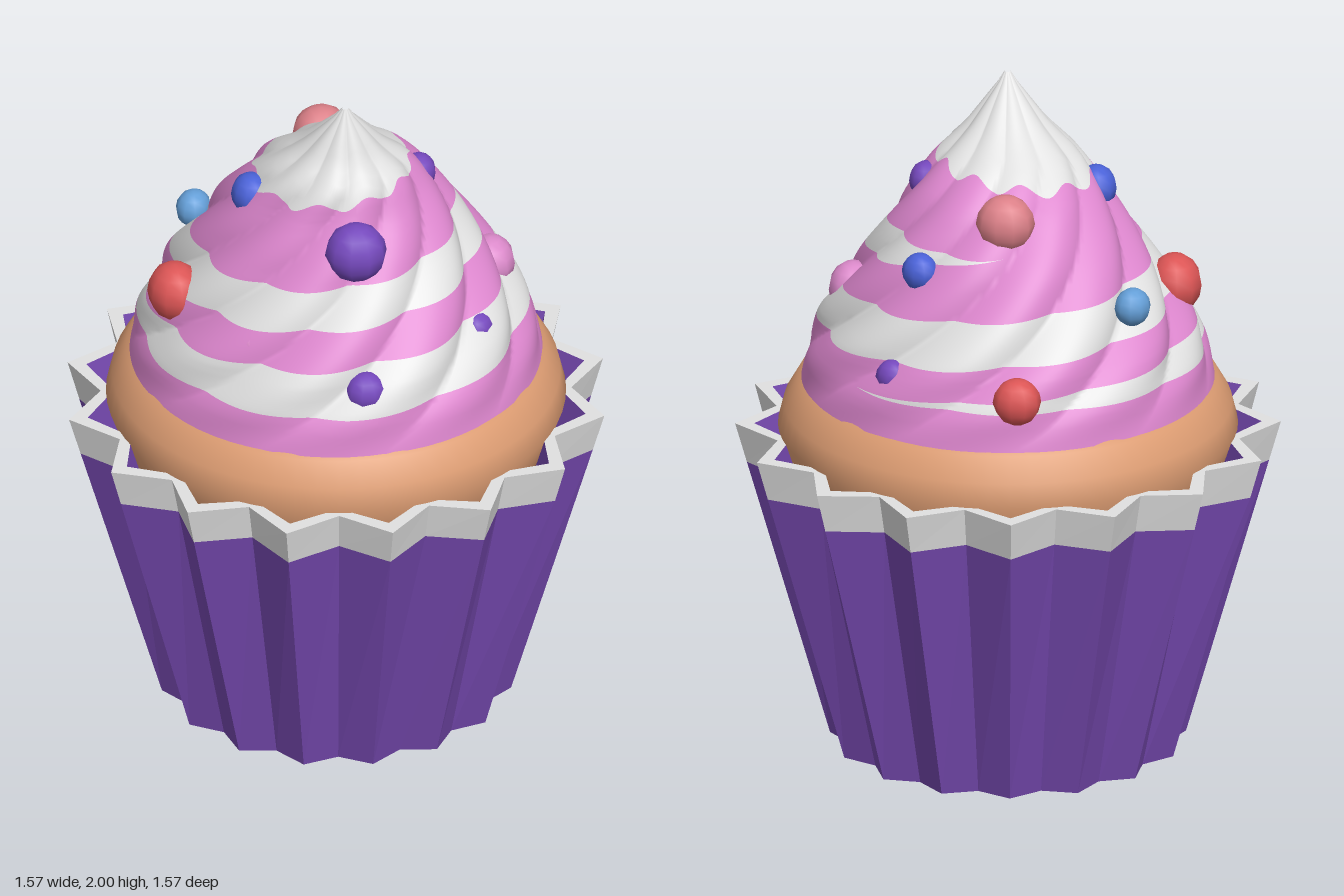
import * as THREE from 'three';

const mat = (name, color) => {
  const m = new THREE.MeshStandardMaterial({ color });
  m.name = name;
  return m;
};
const TAU = Math.PI * 2;

// Piecewise linear lookup in [key, value] pairs, softened by averaging
function lookup(table, k) {
  const lin = (q) => {
    if (q <= table[0][0]) return table[0][1];
    for (let i = 1; i < table.length; i++) {
      const [k0, v0] = table[i - 1], [k1, v1] = table[i];
      if (q <= k1) return v0 + (v1 - v0) * (q - k0) / (k1 - k0);
    }
    return table[table.length - 1][1];
  };
  return (lin(k - 0.025) + 2 * lin(k) + lin(k + 0.025)) / 4;
}

// Pleated ring: 16 points alternating between tip and valley radius
const PLEATS = 32;
const ring = (y, tip, valley) => Array.from({ length: PLEATS + 1 }, (_, i) => {
  const a = i / PLEATS * TAU, r = i % 2 ? valley : tip;
  return new THREE.Vector3(r * Math.sin(a), y, r * Math.cos(a));
});

// Flat-faced wall joining two rings
function wall(a, b) {
  const pts = [];
  for (let i = 0; i < PLEATS; i++) pts.push(a[i], a[i + 1], b[i + 1], a[i], b[i + 1], b[i]);
  const g = new THREE.BufferGeometry().setFromPoints(pts);
  g.computeVertexNormals();
  return g;
}

// Frosting shape: radius and forward lean by height, with twisted ridges
const RADIUS = [[1.0, 0.62], [1.1, 0.595], [1.2, 0.575], [1.3, 0.53], [1.4, 0.465], [1.5, 0.4],
  [1.6, 0.335], [1.7, 0.265], [1.78, 0.205], [1.85, 0.125], [2.0, 0.004]];
const LEAN = [[1.55, 0], [1.7, 0.02], [1.8, 0.065], [1.9, 0.1], [2, 0.13]];
function frostPoint(phi, y) {
  const turn = 2.6 * (Math.min(y, 1.8) - 1.1);
  const lobe = Math.abs(Math.sin(5 * (phi - turn))) - 0.6;
  const strength = 0.08 * THREE.MathUtils.smoothstep(y, 1.08, 1.35);
  const r = lookup(RADIUS, y) * (1 + strength * lobe);
  return new THREE.Vector3(r * Math.sin(phi), y, r * Math.cos(phi) + lookup(LEAN, y));
}

// Smooth strip of frosting between two height curves
function frostStrip(lower, upper, rows) {
  const cols = 160, pos = [], nor = [], idx = [], e = 0.006;
  for (let j = 0; j <= rows; j++) {
    for (let i = 0; i <= cols; i++) {
      const phi = i / cols * TAU;
      const y = THREE.MathUtils.lerp(lower(phi), upper(phi), j / rows);
      const yn = Math.min(y, 1.97);
      const du = frostPoint(phi + 0.02, yn).sub(frostPoint(phi - 0.02, yn));
      const dv = frostPoint(phi, yn + e).sub(frostPoint(phi, yn - e));
      pos.push(...frostPoint(phi, y).toArray());
      nor.push(...du.cross(dv).normalize().toArray());
      if (i < cols && j < rows) {
        const a = j * (cols + 1) + i, b = a + cols + 1;
        idx.push(a, a + 1, b + 1, a, b + 1, b);
      }
    }
  }
  const g = new THREE.BufferGeometry();
  g.setAttribute('position', new THREE.Float32BufferAttribute(pos, 3));
  g.setAttribute('normal', new THREE.Float32BufferAttribute(nor, 3));
  g.setIndex(idx);
  return g;
}

export function createModel() {
  const model = new THREE.Group();
  model.name = 'cupcake';
  const M = {
    wrapper: mat('wrapper purple', 0x7649b0),
    white: mat('cream white', 0xe0e0e0),
    cake: mat('sponge tan', 0xdc9c72),
    pink: mat('frosting pink', 0xdc86cd),
    purple: mat('candy purple', 0x7548bd),
    blue: mat('candy blue', 0x4a62d8),
    red: mat('candy red', 0xdc5555),
    salmon: mat('candy salmon', 0xdc8088),
    sky: mat('candy sky blue', 0x649fd8),
    rose: mat('candy rose', 0xdc8acb),
  };
  const add = (parent, name, geometry, material) => {
    const mesh = new THREE.Mesh(geometry, material);
    mesh.name = name;
    parent.add(mesh);
    return mesh;
  };

  // Pleated paper wrapper with a pale rim
  const wrapper = new THREE.Group();
  wrapper.name = 'wrapper';
  model.add(wrapper);
  const base = ring(0, 0.512, 0.462), seam = ring(0.84, 0.751, 0.65), top = ring(0.96, 0.785, 0.677);
  const lip = ring(0.96, 0.73, 0.64), inside = ring(0.3, 0.55, 0.5);
  add(wrapper, 'wrapperWall', wall(base, seam), M.wrapper);
  add(wrapper, 'wrapperBase', wall(ring(0, 0, 0), base), M.wrapper);
  add(wrapper, 'wrapperInside', wall(lip, inside), M.wrapper);
  add(wrapper, 'rimBand', wall(seam, top), M.white);
  add(wrapper, 'rimTop', wall(top, lip), M.white);

  // Sponge dome
  const dome = [[0, 0.3], [0.42, 0.3], [0.57, 0.72], [0.63, 0.87], [0.662, 0.96], [0.645, 1.03],
    [0.605, 1.1], [0.55, 1.135], [0.4, 1.16], [0, 1.18]];
  add(model, 'sponge', new THREE.LatheGeometry(dome.map(([x, y]) => new THREE.Vector2(x, y)), 64), M.cake);

  // Frosting: a white spiral climbing through pink, ending in a white tip
  const frosting = new THREE.Group();
  frosting.name = 'frosting';
  model.add(frosting);
  const hem = (p) => 1.095 + 0.012 * Math.sin(9 * p) + 0.008 * Math.sin(14 * p + 1);
  const cap = (p) => 1.755 + 0.015 * Math.sin(10 * p) + 0.025 * Math.sin(p);
  const spiralEdge = (turn, side) => (p) => {
    const t = turn + p / TAU;
    const half = 0.065 - 0.015 * THREE.MathUtils.clamp(t, 0, 1);
    const taper = 1 - THREE.MathUtils.smoothstep(t, 1.22, 1.5);
    return Math.max(1.215, 1.285 + 0.21 * t + side * half * taper);
  };
  const edges = [hem];
  for (const turn of [-1, 0, 1]) edges.push(spiralEdge(turn, -1), spiralEdge(turn, 1));
  edges.push(cap, () => 2);
  for (let i = 0; i + 1 < edges.length; i++) {
    const white = i % 2 === 1;
    const name = i === 7 ? 'frostingTip' : white ? 'whiteSwirl' : 'pinkSwirl';
    add(frosting, name, frostStrip(edges[i], edges[i + 1], 8), white ? M.white : M.pink);
  }

  // Candy balls: x, y, z, radius, colour
  const candies = new THREE.Group();
  candies.name = 'candies';
  model.add(candies);
  const ball = new THREE.SphereGeometry(1, 10, 8);
  [
    [-0.01, 1.63, 0.32, 0.09, 'purple'],
    [-0.02, 1.27, 0.505, 0.062, 'purple'],
    [0.345, 1.32, 0.32, 0.056, 'purple'],
    [-0.315, 1.36, 0.32, 0.052, 'rose'],
    [-0.48, 1.38, 0.03, 0.088, 'red'],
    [0.445, 1.365, 0.04, 0.08, 'rose'],
    [-0.255, 1.68, 0.03, 0.065, 'blue'],
    [0.235, 1.7, 0.04, 0.055, 'purple'],
    [0.01, 1.68, -0.25, 0.085, 'salmon'],
    [0.255, 1.535, -0.26, 0.056, 'blue'],
    [-0.02, 1.25, -0.555, 0.07, 'red'],
    [-0.355, 1.44, -0.3, 0.056, 'sky'],
    [0.335, 1.26, -0.385, 0.052, 'purple'],
  ].forEach(([x, y, z, r, color], i) => {
    const candy = add(candies, 'candy' + (i + 1), ball, M[color]);
    candy.position.set(x, y, z);
    candy.rotation.set(0, Math.atan2(x, z), 0);
    candy.scale.set(r, r, r * 0.9);
  });

  return model;
}
